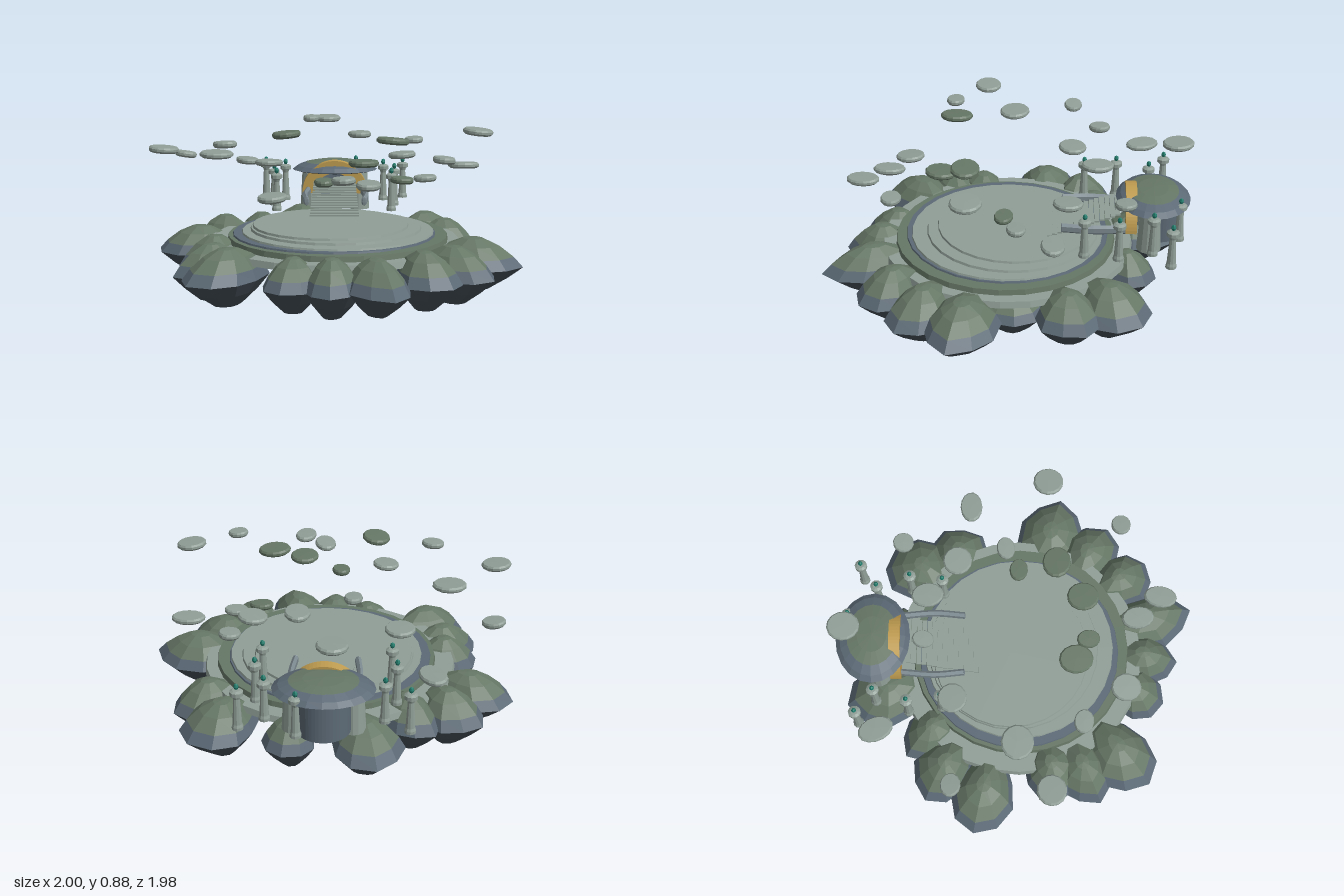
import * as THREE from 'three';

const mat = (color, extra = {}) => new THREE.MeshStandardMaterial({ color, flatShading: true, ...extra });
const STONE = mat(0x909e97), SLATE = mat(0x5c6a76), DARK = mat(0x454f58), GREEN = mat(0x667766);
const GOLD = mat(0xbf9c50), GEM = mat(0x1f7a6a), RAIL = mat(0x7c8a90, { side: THREE.DoubleSide });

function add(parent, name, geometry, material, x = 0, y = 0, z = 0) {
  const mesh = new THREE.Mesh(geometry, material);
  mesh.name = name;
  mesh.position.set(x, y, z);
  parent.add(mesh);
  return mesh;
}

const lathe = (points, sides) => new THREE.LatheGeometry(points.map(([r, y]) => new THREE.Vector2(r, y)), sides);

// Boulder: three colour bands of a sharp-waisted faceted lathe, tipped outward, stretched and leaning inward
const ROCK_BANDS = [
  ['rockBase', DARK, [[0, 0], [0.32, 0], [0.7, 0.23], [1, 0.46]]],
  ['rockSide', SLATE, [[1, 0.46], [0.84, 0.65]]],
  ['rockMoss', GREEN, [[0.84, 0.65], [0.56, 0.85], [0.23, 0.98], [0, 1]]],
];
function makeRock(seed, x, z, halfWidth, halfLength, height) {
  const rock = new THREE.Group();
  rock.name = 'rimRock';
  for (const [name, material, profile] of ROCK_BANDS) {
    const geometry = lathe(profile, 9), p = geometry.attributes.position;
    for (let i = 0; i < p.count; i++) {
      const a = Math.atan2(p.getX(i), p.getZ(i)), h = p.getY(i);
      const wobble = 1 + 0.1 * Math.sin(a) * Math.sin(2 * a + seed * 1.7);
      const reach = (1 + 0.2 * Math.max(0, Math.cos(a)) ** 3) / 1.2 + 0.5 * Math.max(0, -Math.cos(a));
      const lean = -0.35 * Math.abs(h - 0.46);
      p.setXYZ(i, p.getX(i) * wobble, h, p.getZ(i) * wobble * reach + lean);
    }
    geometry.computeVertexNormals();
    add(rock, name, geometry, material);
  }
  rock.scale.set(halfWidth * 1.15, height, halfLength);
  rock.position.set(x, (seed % 3) * 0.01, z);
  rock.rotation.y = Math.atan2(x, z);
  return rock;
}

// Column with base, tapered shaft, wide cap and a small gem
function makePillar(x, z) {
  const pillar = new THREE.Group();
  pillar.name = 'pillar';
  add(pillar, 'pillarShaft', lathe([[0, 0], [0.029, 0], [0.029, 0.015], [0.024, 0.03], [0.017, 0.17], [0.022, 0.185],
    [0.034, 0.19], [0.034, 0.21], [0.02, 0.218], [0, 0.218]], 10), STONE);
  const gem = add(pillar, 'pillarGem', new THREE.OctahedronGeometry(0.013, 1), GEM, 0, 0.235, 0);
  gem.scale.y = 1.4;
  pillar.position.set(x, 0.328, z);
  return pillar;
}

export function createModel() {
  const model = new THREE.Group();
  model.name = 'floatingArena';

  // Stepped round platform: radius, bottom, top, x, z
  const tiers = [
    ['platformBase', STONE, 0.69, 0.222, 0.256, -0.01, 0],
    ['mossRing', GREEN, 0.605, 0.24, 0.285, 0.01, 0.01],
    ['slateRing', SLATE, 0.56, 0.27, 0.294, -0.01, 0],
    ['lowerStep', STONE, 0.53, 0.28, 0.304, 0.01, 0],
    ['middleStep', STONE, 0.475, 0.29, 0.317, 0, -0.03],
    ['arenaFloor', STONE, 0.435, 0.3, 0.329, -0.03, -0.045],
  ];
  for (const [name, material, r, y0, y1, x, z] of tiers)
    add(model, name, new THREE.CylinderGeometry(r - 0.008, r, y1 - y0, 28), material, x, (y0 + y1) / 2, z);
  add(model, 'platformUnderside', new THREE.CylinderGeometry(0.67, 0.64, 0.015, 28), SLATE, -0.01, 0.215, 0);

  // Ring of boulders: x, z, half width, half length, height
  [
    [0.55, -0.58, 0.17, 0.2, 0.3], [0.65, -0.36, 0.15, 0.17, 0.29], [0.78, 0.2, 0.17, 0.22, 0.28],
    [0.64, 0.42, 0.15, 0.2, 0.3], [0.47, 0.6, 0.14, 0.18, 0.3], [0.22, 0.76, 0.14, 0.24, 0.28],
    [-0.02, 0.73, 0.13, 0.17, 0.3], [-0.22, 0.66, 0.13, 0.16, 0.28], [-0.58, 0.56, 0.16, 0.22, 0.295],
    [-0.68, 0.36, 0.14, 0.18, 0.3], [-0.68, 0.18, 0.14, 0.16, 0.3], [-0.8, -0.2, 0.15, 0.21, 0.27],
    [-0.67, -0.42, 0.14, 0.18, 0.31], [-0.46, -0.5, 0.13, 0.17, 0.3], [-0.22, -0.76, 0.16, 0.21, 0.29],
    [0.17, -0.68, 0.12, 0.14, 0.28], [0.57, -0.06, 0.16, 0.12, 0.235], [-0.55, -0.02, 0.15, 0.12, 0.235],
  ].forEach((r, i) => model.add(makeRock(i, ...r)));

  // Shrine: shallow domed roof, two drums, curved back wall, golden arch
  const shrine = new THREE.Group();
  shrine.name = 'shrine';
  shrine.position.set(-0.01, 0, -0.79);
  model.add(shrine);
  for (const [name, material, profile] of [
    ['roofUnderside', DARK, [[0, 0], [0.9, 0], [1, 0.1]]],
    ['roofRim', SLATE, [[1, 0.1], [0.88, 0.45], [0.68, 0.74]]],
    ['roofMoss', GREEN, [[0.68, 0.74], [0.4, 0.93], [0, 1]]],
  ]) add(shrine, name, lathe(profile, 20), material, 0, 0.511, 0).scale.set(0.257, 0.068, 0.202);
  for (const s of [-1, 1])
    add(shrine, 'shrineDrum', new THREE.CylinderGeometry(0.053, 0.066, 0.24, 14), STONE, s * 0.145, 0.4, 0.02);
  const wall = new THREE.Shape();
  wall.absarc(0, 0, 0.135, 0, Math.PI, false);
  wall.absarc(0, 0, 0.11, Math.PI, 0, true);
  const wallMesh = add(shrine, 'backWall',
    new THREE.ExtrudeGeometry(wall, { depth: 0.21, bevelEnabled: false, curveSegments: 12 }), SLATE, 0, 0.31, -0.035);
  wallMesh.rotation.x = -Math.PI / 2;
  const arch = new THREE.Shape();
  arch.absarc(0, 0, 0.195, 0, Math.PI, false);
  arch.absarc(0, 0, 0.12, Math.PI, 0, true);
  add(shrine, 'goldenArch',
    new THREE.ExtrudeGeometry(arch, { depth: 0.06, bevelEnabled: false, curveSegments: 16 }), GOLD, 0, 0.391, 0.09);

  // Stairway of thin separate slabs rising to the arch
  const STEPS = 14;
  for (let i = 0; i < STEPS; i++) {
    const t = i / (STEPS - 1);
    add(model, 'stairSlab', new THREE.BoxGeometry(0.28 - 0.03 * t, 0.009, 0.026), STONE,
      -0.01, 0.334 + 0.13 * t, -0.235 - 0.365 * t);
  }

  // Curved side rails with closed ends
  for (const s of [-1, 1]) {
    const x = -0.005 + s * 0.165;
    const path = new THREE.CatmullRomCurve3([[x, -0.3], [x + s * 0.014, -0.46], [x, -0.64]]
      .map(([px, pz]) => new THREE.Vector3(px, 0, pz)));
    add(model, 'stairRail', new THREE.TubeGeometry(path, 10, 0.017, 6), RAIL, 0, 0.405, 0).scale.y = 1.6;
    for (const z of [-0.3, -0.64])
      add(model, 'railEnd', new THREE.SphereGeometry(0.017, 6, 5), RAIL, x, 0.405, z).scale.set(1, 1.6, 0.3);
  }

  // Pillars flanking the shrine, plus one behind it
  for (const [x, z] of [[0.42, -0.87], [0.297, -0.78], [0.357, -0.6], [0.333, -0.42]])
    for (const s of [-1, 1]) model.add(makePillar(s * x - 0.013, z));
  model.add(makePillar(0.12, -0.93));

  // Hovering stepping stones: x, y, z, half width, half depth, sideways tilt, mossy
  [
    [-0.54, 0.575, -0.75, 0.065, 0.095, -0.05], [-0.055, 0.815, -0.91, 0.078, 0.085, 0],
    [-0.86, 0.67, -0.35, 0.062, 0.052, -0.14], [-0.65, 0.715, -0.01, 0.092, 0.085, -0.02],
    [-0.91, 0.765, 0.16, 0.08, 0.076, -0.08], [-0.385, 0.62, -0.35, 0.08, 0.078, -0.02],
    [-0.145, 0.86, -0.49, 0.046, 0.056, 0], [0.135, 0.768, -0.48, 0.066, 0.085, 0.02],
    [0.375, 0.668, -0.33, 0.078, 0.078, 0.08], [0.46, 0.718, -0.62, 0.055, 0.056, 0.04],
    [0.72, 0.62, -0.26, 0.088, 0.06, 0], [0.49, 0.575, -0.07, 0.064, 0.05, 0.04],
    [0.36, 0.575, 0, 0.064, 0.05, -0.05, 1], [0.3, 0.815, 0.2, 0.088, 0.075, -0.08, 1],
    [0.75, 0.86, 0.16, 0.08, 0.08, -0.1], [0.54, 0.765, 0.55, 0.057, 0.052, -0.09],
    [0.145, 0.717, 0.34, 0.078, 0.085, 0, 1], [-0.06, 0.622, 0.37, 0.05, 0.062, 0.02, 1],
    [-0.255, 0.86, 0.29, 0.075, 0.088, 0.09, 1], [-0.57, 0.813, 0.325, 0.062, 0.05, 0.03],
    [-0.315, 0.575, 0.565, 0.075, 0.08, 0.07], [0.04, 0.673, 0.63, 0.06, 0.085, 0.06],
    [0.16, 0.67, 0.755, 0.06, 0.088, -0.02],
  ].forEach(([x, y, z, rx, rz, tilt, mossy], i) => {
    const stone = add(model, 'hoverStone', lathe([[0, -0.016], [0.86, -0.016], [1, -0.006], [1, 0.006],
      [0.9, 0.015], [0, 0.016]], 14), mossy ? GREEN : STONE, x, y, z);
    stone.scale.set(rx, 1, rz);
    stone.rotation.set(0.05 * Math.sin(i * 2.3), i === 0 ? 0.4 : 0.15 * Math.sin(i * 1.9), tilt);
  });

  return model;
}
